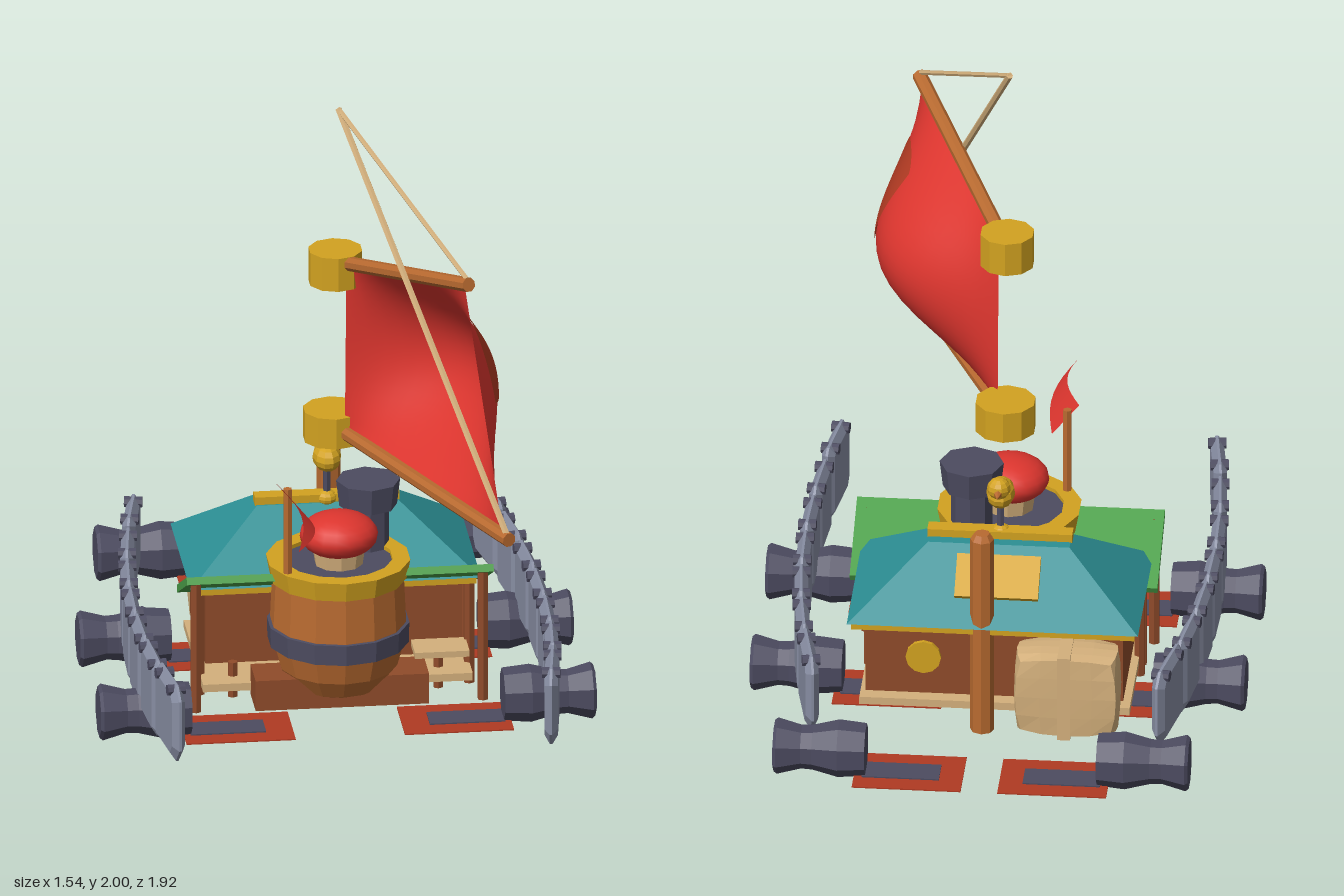
import * as THREE from 'three';

const mat = (name, color, flat = true) => {
  const m = new THREE.MeshStandardMaterial({ color, flatShading: flat, side: THREE.DoubleSide });
  m.name = name;
  return m;
};
const V = (x, y, z) => new THREE.Vector3(x, y, z);

export function createModel() {
  const M = {
    brown: mat('dark wood', 0x8f4b2a), wood: mat('orange wood', 0xb86a30), gold: mat('gold', 0xd2a220),
    teal: mat('teal roof', 0x2c8f94), green: mat('green awning', 0x4b9f48), red: mat('red cloth', 0xdc352e, false),
    rust: mat('rust cloth', 0xb03a22), steel: mat('light slate', 0x888ea3), slate: mat('dark slate', 0x4c4b60),
    tan: mat('tan', 0xd4b07c),
  };
  const root = new THREE.Group();
  const add = (name, geo, m, x = 0, y = 0, z = 0, parent = root) => {
    const mesh = new THREE.Mesh(geo, m);
    mesh.name = name;
    mesh.position.set(x, y, z);
    parent.add(mesh);
    return mesh;
  };
  const box = (name, m, x0, x1, y0, y1, z0, z1) =>
    add(name, new THREE.BoxGeometry(x1 - x0, y1 - y0, z1 - z0), m, (x0 + x1) / 2, (y0 + y1) / 2, (z0 + z1) / 2);
  const cyl = (name, m, r0, r1, y0, y1, x, z, n = 10) =>
    add(name, new THREE.CylinderGeometry(r1, r0, y1 - y0, n), m, x, (y0 + y1) / 2, z);
  const rod = (name, m, a, b, r, n = 8) => {
    const mesh = add(name, new THREE.CylinderGeometry(r, r, a.distanceTo(b), n), m);
    mesh.position.copy(a).lerp(b, 0.5);
    mesh.quaternion.setFromUnitVectors(V(0, 1, 0), b.clone().sub(a).normalize());
    return mesh;
  };
  const lathe = (pts, n) => new THREE.LatheGeometry(pts.map(p => new THREE.Vector2(...p)), n);
  // Box whose top is shrunk into a frustum
  const frustum = (name, m, w, d, tw, td, y0, y1, z) => {
    const g = new THREE.BoxGeometry(w, y1 - y0, d), p = g.attributes.position;
    for (let i = 0; i < p.count; i++)
      if (p.getY(i) > 0) p.setXYZ(i, p.getX(i) * tw / w, p.getY(i), p.getZ(i) * td / d);
    g.computeVertexNormals();
    return add(name, g, m, 0, (y0 + y1) / 2, z);
  };

  // Sail: a bilinear sheet between the booms, bulging outward
  const c = [V(0.03, 0.89, 0.03), V(0.42, 0.89, 0.89), V(0.03, 1.45, 0.07), V(0.325, 1.63, 0.71)];
  const sheet = (u0, u1, v0, v1, off, round) => {
    const g = new THREE.PlaneGeometry(1, 1, 18, 18), p = g.attributes.position;
    for (let i = 0; i < p.count; i++) {
      let a = p.getX(i) * 2, b = p.getY(i) * 2;
      if (round) { const k = 1 - 0.12 * a * a * b * b; a *= k; b *= k; }
      const u = u0 + (u1 - u0) * (a + 1) / 2, v = v0 + (v1 - v0) * (b + 1) / 2;
      const q = c[0].clone().lerp(c[1], u).lerp(c[2].clone().lerp(c[3], u), v);
      const h = 0.235 * Math.sin(Math.PI * u) ** 0.9 * Math.sin(Math.PI * v) + off;
      p.setXYZ(i, q.x + 0.91 * h, q.y, q.z - 0.41 * h);
    }
    g.computeVertexNormals();
    return g;
  };
  add('sail', sheet(0, 1, 0, 1, 0), M.red);
  add('sailPatch', sheet(0.64, 0.9, 0.44, 0.84, 0.005, true), M.rust);
  rod('lowerBoom', M.wood, V(0.03, 0.875, 0.04), V(0.435, 0.875, 0.95), 0.023);
  rod('upperBoom', M.wood, V(0.02, 1.455, 0.06), V(0.335, 1.645, 0.73), 0.023);
  cyl('upperCollar', M.gold, 0.085, 0.085, 1.38, 1.49, 0, 0.03);
  cyl('lowerCollar', M.gold, 0.095, 0.095, 0.83, 0.93, 0, -0.03);
  const mastHead = V(0, 1.995, 0.115);
  rod('shortRope', M.tan, mastHead, V(0.33, 1.66, 0.72), 0.008, 6);
  rod('longRope', M.tan, mastHead, V(0.43, 0.885, 0.94), 0.011, 6);

  // Cabin with hip roof
  box('cabinWalls', M.brown, -0.4, 0.4, 0.1, 0.36, -0.42, -0.01);
  box('eaves', M.gold, -0.44, 0.44, 0.345, 0.37, -0.48, 0.03);
  frustum('roof', M.teal, 0.905, 0.54, 0.44, 0.09, 0.37, 0.55, -0.225);
  box('ridgeBeam', M.gold, -0.225, 0.225, 0.54, 0.575, -0.235, -0.185);
  const hatch = box('roofPatch', M.gold, -0.135, 0.125, -0.01, 0.01, -0.072, 0.072);
  hatch.position.set(-0.005, 0.485, -0.362);
  hatch.rotation.x = -0.68;
  const port = cyl('porthole', M.gold, 0.055, 0.055, -0.008, 0.008, 0.22, -0.425, 12);
  port.position.y = 0.23;
  port.rotation.x = Math.PI / 2;
  const awning = box('awning', M.green, -0.478, 0.478, -0.012, 0.012, -0.148, 0.148);
  awning.position.set(0, 0.385, 0.032);
  awning.rotation.x = -0.47;
  // Deck and its supports
  box('deck', M.tan, -0.42, 0.42, 0.05, 0.075, -0.42, 0.1);
  box('frontBeam', M.brown, -0.27, 0.27, 0.03, 0.13, 0.08, 0.22);
  box('shelf', M.tan, 0.24, 0.41, 0.13, 0.15, -0.01, 0.1);
  for (const z of [-0.3, -0.15, 0]) box('crossBeam', M.brown, -0.38, 0.38, 0.02, 0.055, z - 0.025, z + 0.025);
  for (const s of [-1, 1]) {
    cyl('frontPost', M.brown, 0.018, 0.018, 0.005, 0.445, s * 0.447, 0.14, 6);
    for (const z of [0, -0.07]) cyl('sidePost', M.brown, 0.018, 0.018, 0.005, 0.36, s * 0.42, z, 6);
    cyl('stub', M.brown, 0.016, 0.016, 0.005, 0.12, s * 0.32, 0.03, 6);
  }
  // Stern pole and sack
  cyl('sternPole', M.wood, 0.037, 0.037, 0, 0.67, 0.035, -0.455, 8);
  cyl('poleCap', M.wood, 0.037, 0.024, 0.67, 0.69, 0.035, -0.455, 8);
  const sack = new THREE.BoxGeometry(0.33, 0.28, 0.17, 4, 4, 4), sp = sack.attributes.position;
  for (let i = 0; i < sp.count; i++) {
    const [x, y, z] = [sp.getX(i) / 0.165, sp.getY(i) / 0.14, sp.getZ(i) / 0.085];
    const k = 1 - 0.05 * (x * x * y * y + y * y * z * z + x * x * z * z);
    sp.setXYZ(i, x * 0.165 * k, y * 0.14 * k, z * 0.085 * k);
  }
  add('sack', sack, M.tan, -0.235, 0.19, -0.505);
  box('sackStrap', M.tan, -0.25, -0.21, 0.047, 0.334, -0.593, -0.42);

  // Lookout tub with cap, chimney and pennant
  const tub = new THREE.Group();
  tub.name = 'lookoutTub';
  tub.position.set(0, 0, 0.105);
  root.add(tub);
  add('tubBody', lathe([[0, 0.045], [0.09, 0.05], [0.145, 0.075], [0.185, 0.135], [0.205, 0.21], [0.212, 0.28], [0.205, 0.43]], 14), M.wood, 0, 0, 0, tub);
  add('tubBand', lathe([[0.205, 0.21], [0.22, 0.212], [0.222, 0.278], [0.205, 0.28]], 14), M.slate, 0, 0, 0, tub);
  add('tubRim', lathe([[0.19, 0.42], [0.213, 0.425], [0.225, 0.488], [0.17, 0.488], [0.17, 0.44]], 14), M.gold, 0, 0, 0, tub);
  add('tubFloor', new THREE.CylinderGeometry(0.172, 0.172, 0.02, 14), M.slate, 0, 0.465, 0, tub);
  cyl('lookoutHead', M.tan, 0.075, 0.085, 0.47, 0.54, 0, 0.12, 10);
  const cap = new THREE.SphereGeometry(0.122, 18, 12);
  cap.scale(1, 0.58, 0.95);
  add('lookoutCap', cap, M.red, 0, 0.573, 0.125);
  cyl('chimney', M.slate, 0.065, 0.065, 0.42, 0.63, 0.107, -0.01, 8);
  cyl('chimneyTop', M.slate, 0.09, 0.1, 0.61, 0.695, 0.107, -0.01, 8);
  cyl('flagPole', M.wood, 0.014, 0.014, 0.46, 0.77, -0.17, 0.215, 6);
  const flag = new THREE.PlaneGeometry(1, 1, 10, 1), fp = flag.attributes.position;
  for (let i = 0; i < fp.count; i++) {
    const t = fp.getX(i) + 0.5, s = fp.getY(i) * (1 - t);
    fp.setXYZ(i, -0.165 - 0.02 * t + 0.045 * Math.sin(Math.PI * t) - 0.085 * s, 0.737 + 0.105 * s, 0.21 + 0.435 * t);
  }
  flag.computeVertexNormals();
  add('pennant', flag, M.red);

  // Bird vane
  const ball = (name, r, sx, sy, sz, y, z) =>
    add(name, new THREE.SphereGeometry(r, 10, 8).scale(sx, sy, sz), M.gold, 0, y, z);
  ball('vaneBase', 0.032, 1, 0.8, 1, 0.56, -0.2);
  cyl('vanePole', M.slate, 0.012, 0.012, 0.56, 0.67, 0, -0.2, 6);
  ball('birdBody', 0.045, 1, 1, 1.5, 0.697, -0.2);
  ball('birdHead', 0.037, 1, 0.95, 1, 0.747, -0.265);
  const beak = add('birdBeak', new THREE.ConeGeometry(0.017, 0.04, 6), M.wood, 0, 0.742, -0.31);
  beak.rotation.x = -Math.PI / 2;

  // Bowed side shields, rollers and paddles, mirrored
  const spool = lathe([[0, 0], [0.08, 0], [0.088, 0.01], [0.068, 0.085], [0.07, 0.12], [0.09, 0.2], [0.082, 0.285], [0, 0.285]], 8);
  const bowX = z => 0.635 - 0.124 * (z - 0.15) ** 2;
  const panel = end => {
    const k = end ? 0.025 : 0.006, w = end ? 0.1 : 0.084;
    const s = new THREE.Shape([[-w, -0.095 + k], [-w + k, -0.1], [w - 0.006, -0.1], [w, -0.095], [w, 0.095], [w - 0.006, 0.1], [-w + k, 0.1], [-w, 0.1 - k]]
      .map(p => new THREE.Vector2(...p)));
    return new THREE.ExtrudeGeometry(s, { depth: 0.008, bevelEnabled: true, bevelThickness: 0.017, bevelSize: 0.026, bevelSegments: 1 })
      .translate(0, 0, -0.004);
  };
  const mid = panel(false), endPanel = panel(true);
  for (const s of [-1, 1]) {
    for (let i = 0; i < 7; i++) {
      const end = i === 0 || i === 6;
      const z = 0.04 + (i - 3) * 0.222 + (i === 0 ? -0.016 : i === 6 ? 0.016 : 0);
      const y = 0.228 + 0.022 * ((z - 0.04) / 0.68) ** 2;
      const holder = new THREE.Group();
      holder.name = 'shieldPanel';
      holder.position.set(s * bowX(z), y, z);
      holder.rotation.y = Math.atan(-0.248 * (z - 0.15)) * s;
      root.add(holder);
      const plate = add('plate', end ? endPanel : mid, M.steel, 0, 0, 0, holder);
      plate.rotation.y = i === 6 ? Math.PI / 2 : -Math.PI / 2;
      for (const dz of [-0.07, 0.07]) {
        const rivet = add('rivet', new THREE.CylinderGeometry(0.018, 0.018, 0.056, 8), M.slate, 0, 0.107, dz, holder);
        rivet.rotation.z = Math.PI / 2;
      }
    }
    // [z, roller y, roller outer x, paddle inner x, outer x, plate inner x, outer x]
    for (const [z, y, x, p0, p1, d0, d1] of [
      [-0.855, 0.13, 0.645, 0.057, 0.395, 0.13, 0.37],
      [-0.262, 0.095, 0.768, 0.17, 0.51, 0.25, 0.49],
      [0.325, 0.095, 0.772, 0.17, 0.51, 0.255, 0.49]]) {
      const r = add('roller', spool, M.slate, s * x, y, z);
      r.rotation.set(Math.PI / 8, 0, s * Math.PI / 2, 'XYZ');
      const py = y - 0.075;
      const strip = (name, m, a, b, h, d) =>
        add(name, new THREE.BoxGeometry(b - a, 0.004, d), m, s * (a + b) / 2, h, z);
      strip('paddle', M.rust, p0, p1, py, 0.22);
      strip('paddleInlay', M.slate, d0, d1, py + 0.004, 0.095);
    }
  }
  return root;
}
